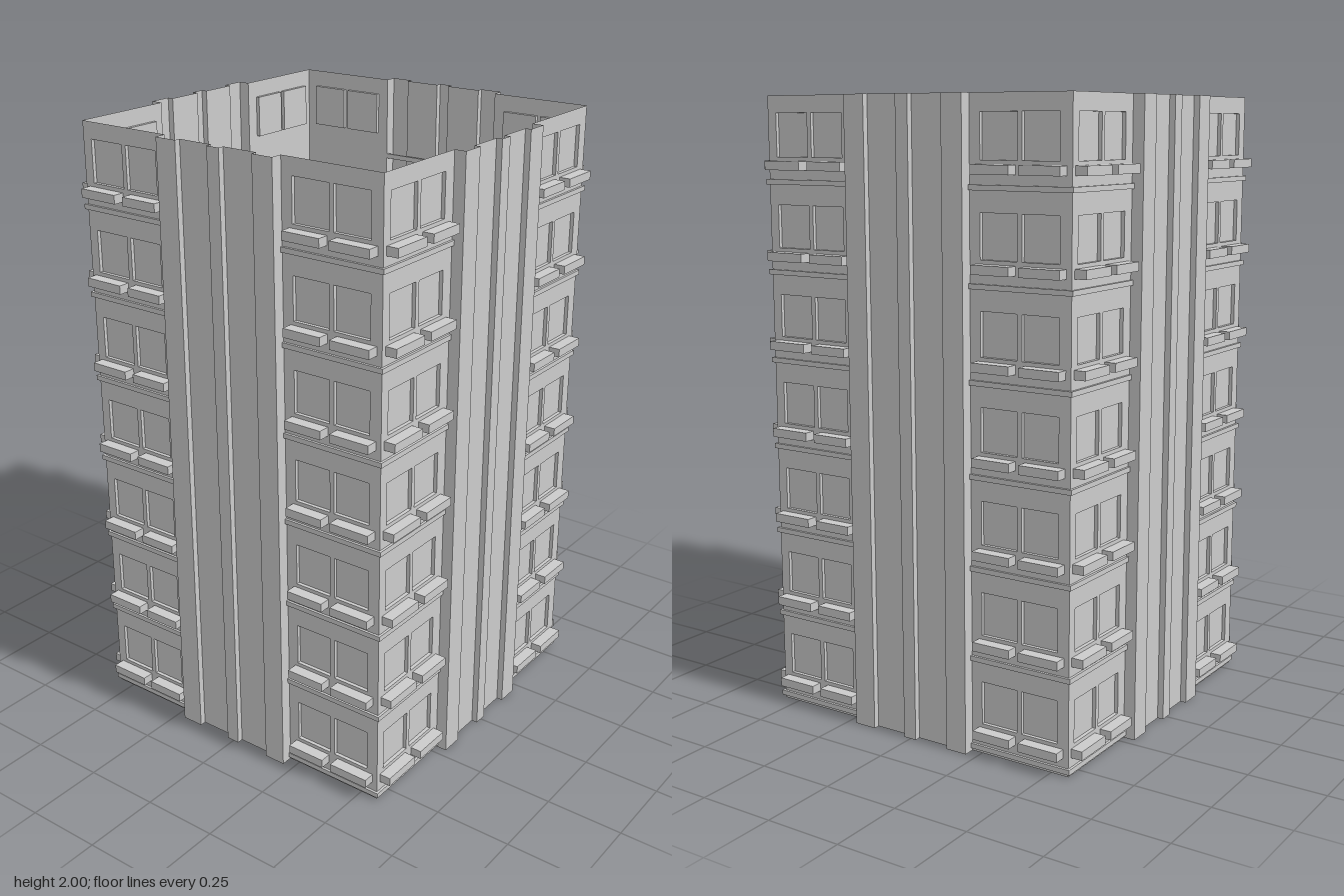
import * as THREE from 'three';

const material = new THREE.MeshStandardMaterial({ color: 0xcccccc, side: THREE.DoubleSide });
const HEIGHT = 2, FLOORS = 7, PITCH = HEIGHT / FLOORS;
const WALL = 0.56, OUTER = 0.598, PANEL = 0.578;
const windows = [[-0.527, -0.4], [-0.384, -0.262], [0.25, 0.378], [0.394, 0.52]];
const sills = [[-0.545, -0.405], [-0.372, -0.24], [0.24, 0.372], [0.405, 0.542]];
const WINDOW_Y = [0.096, 0.232], SILL_Y = [0.056, 0.084], LEDGE_Y = [0.01, 0.026];

function add(parent, name, geometry) {
  const mesh = new THREE.Mesh(geometry, material);
  mesh.name = name;
  parent.add(mesh);
  return mesh;
}

// Box given by its limits on each axis
function box([x0, x1], [y0, y1], [z0, z1]) {
  return new THREE.BoxGeometry(x1 - x0, y1 - y0, z1 - z0)
    .translate((x0 + x1) / 2, (y0 + y1) / 2, (z0 + z1) / 2);
}

function rectangle(path, [x0, x1], [y0, y1]) {
  path.moveTo(x0, y0);
  path.lineTo(x1, y0);
  path.lineTo(x1, y1);
  path.lineTo(x0, y1);
  path.closePath();
  return path;
}

// Thin wall strip with an opening for every window within it
function wallStrip(xRange) {
  const shape = rectangle(new THREE.Shape(), xRange, [0, HEIGHT]);
  for (let f = 0; f < FLOORS; f++) {
    for (const w of windows) {
      if (w[0] < xRange[0] || w[1] > xRange[1]) continue;
      shape.holes.push(rectangle(new THREE.Path(), w, WINDOW_Y.map((y) => y + f * PITCH)));
    }
  }
  return new THREE.ShapeGeometry(shape).translate(0, 0, WALL);
}

// Window recess: a shallow box without its front face
function windowRecess(xRange, yRange) {
  const geometry = box(xRange, yRange, [WALL - 0.012, WALL]);
  const index = Array.from(geometry.index.array);
  index.splice(24, 6);
  geometry.setIndex(index);
  geometry.clearGroups();
  return geometry;
}

// Upright folded sheet following a plan outline of [x, z] points
function foldedSheet(plan) {
  const positions = [];
  for (let i = 0; i < plan.length - 1; i++) {
    const [ax, az] = plan[i], [bx, bz] = plan[i + 1];
    positions.push(ax, 0, az, bx, 0, bz, bx, HEIGHT, bz);
    positions.push(ax, 0, az, bx, HEIGHT, bz, ax, HEIGHT, az);
  }
  const geometry = new THREE.BufferGeometry();
  geometry.setAttribute('position', new THREE.Float32BufferAttribute(positions, 3));
  geometry.computeVertexNormals();
  return geometry;
}

// One facade, facing +z
function createFacade() {
  const facade = new THREE.Group();
  add(facade, 'leftBayWall', wallStrip([0.213, WALL]));
  add(facade, 'rightBayWall', wallStrip([-WALL, -0.22]));

  // Central shaft: three pilasters with two set-back panels between
  add(facade, 'pilasterPanel', foldedSheet([
    [-0.22, WALL], [-0.22, OUTER], [-0.145, OUTER], [-0.145, PANEL],
    [-0.025, PANEL], [-0.025, OUTER], [0.02, OUTER], [0.02, PANEL],
    [0.14, PANEL], [0.14, OUTER], [0.213, OUTER], [0.213, WALL],
  ]));

  for (let f = 0; f < FLOORS; f++) {
    const raise = (range) => range.map((y) => y + f * PITCH);
    windows.forEach((w) => add(facade, 'window', windowRecess(w, raise(WINDOW_Y))));
    sills.forEach((s) => add(facade, 'windowSill', box(s, raise(SILL_Y), [WALL, OUTER])));
    // Floor ledge, running on behind the pilasters
    add(facade, 'floorLedge', box([-0.568, WALL], raise(LEDGE_Y), [WALL, 0.568]));
  }
  return facade;
}

export function createModel() {
  const model = new THREE.Group();
  model.name = 'towerBlock';
  // Four identical facades around an open core
  ['front', 'left', 'back', 'right'].forEach((side, i) => {
    const facade = createFacade();
    facade.name = side + 'Facade';
    facade.rotation.y = (i * Math.PI) / 2;
    model.add(facade);
  });
  return model;
}
